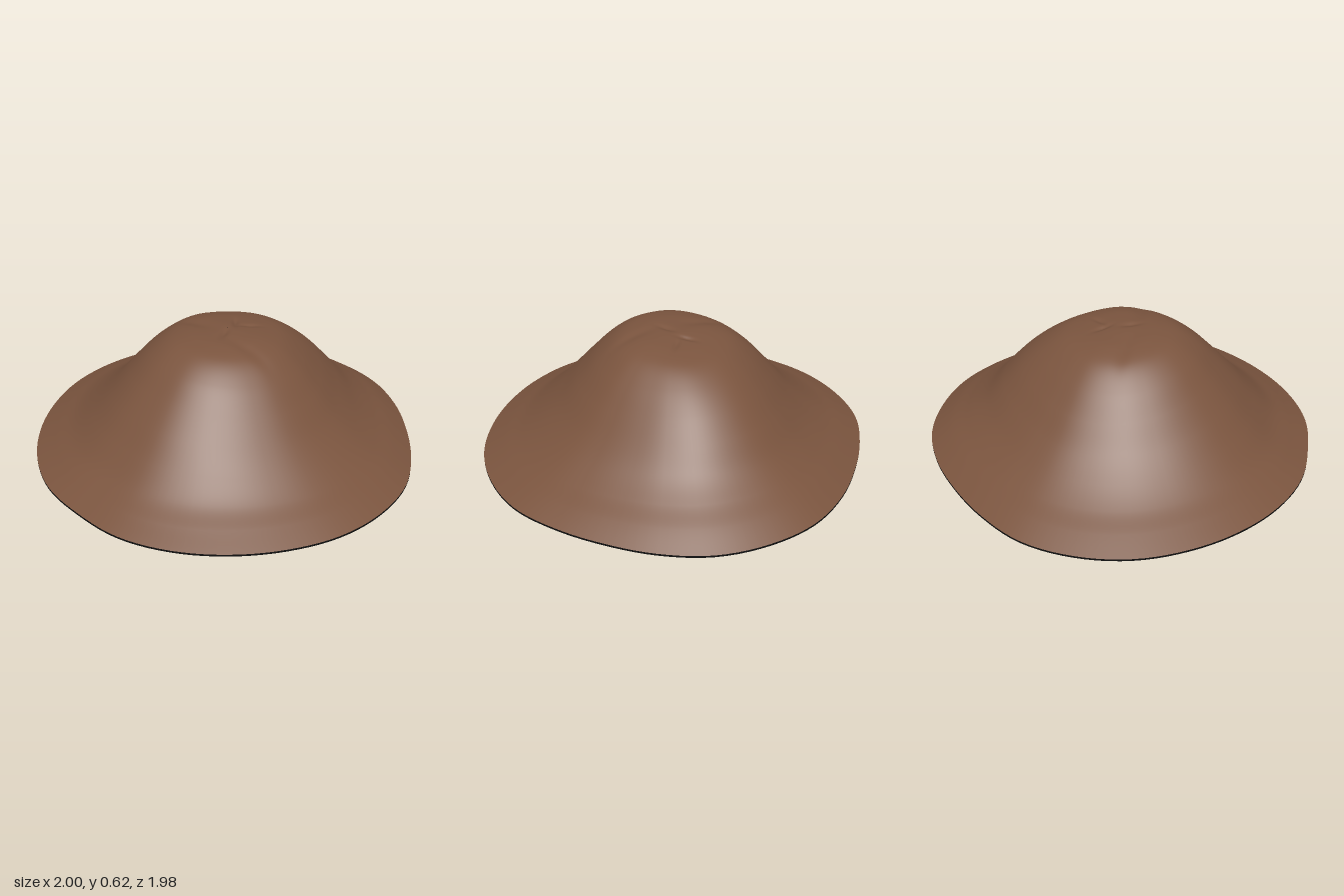
import * as THREE from 'three';
import { ParametricGeometry } from 'three/addons/geometries/ParametricGeometry.js';

// Shell thickness, which is also the height of the rim
const RIM = 0.01;

// Rim radius every 15 degrees, from the front (+z) round to the back (-z)
const rimRadii = [0.985, 0.996, 0.992, 0.987, 0.99, 1.0, 1.0, 0.992, 0.962, 0.95, 0.965, 0.987, 0.99];

// Heights from the centre out to the rim, in tenths of the radius
const sideProfile = [0.615, 0.612, 0.6, 0.563, 0.482, 0.372, 0.26, 0.175, 0.109, 0.06, RIM];
const frontProfile = [0.615, 0.616, 0.612, 0.59, 0.528, 0.433, 0.328, 0.218, 0.122, 0.062, RIM];
const backProfile = [0.615, 0.606, 0.592, 0.565, 0.508, 0.428, 0.325, 0.215, 0.138, 0.077, RIM];

// Smooth lookup in an evenly spaced table; mirrored ends give a level start
function sample(table, s, mirrorEnd) {
  const n = table.length - 1;
  const p = Math.min(Math.max(s, 0), 1) * n;
  const i = Math.min(Math.floor(p), n - 1), f = p - i;
  const at = (k) => {
    if (k < 0) return table[-k];
    if (k > n) return mirrorEnd ? table[2 * n - k] : 2 * table[n] - table[n - 1];
    return table[k];
  };
  const a = at(i - 1), b = at(i), c = at(i + 1), d = at(i + 2);
  return b + 0.5 * f * (c - a + f * (2 * a - 5 * b + 4 * c - d + f * (3 * (b - c) + d - a)));
}

// Radius of the outline at an angle measured from the front
function rimRadius(angle) {
  const c = Math.acos(Math.min(1, Math.max(-1, Math.cos(angle))));
  return sample(rimRadii, c / Math.PI, true);
}

// Shallow creases in the crown: x, z, half-length, half-width, direction, depth
const creases = [
  [-0.18, 0.06, 0.1, 0.035, 0, 0.008],
  [0.2, 0.07, 0.11, 0.035, -0.1, 0.007],
  [-0.02, -0.08, 0.05, 0.016, 0.8, 0.01],
  [0.05, -0.11, 0.05, 0.016, -0.9, 0.008],
  [0.03, 0.05, 0.05, 0.018, 1.1, 0.009],
];

function creaseDepth(x, z) {
  let sum = 0;
  for (const [cx, cz, length, width, turn, depth] of creases) {
    const dx = x - cx, dz = z - cz;
    const along = (dx * Math.cos(turn) + dz * Math.sin(turn)) / length;
    const across = (dz * Math.cos(turn) - dx * Math.sin(turn)) / width;
    sum += depth * Math.exp(-along * along - across * across);
  }
  return sum;
}

// Domed skin: blends the front, side and back profiles round the crown
function setSkinPoint(angle, v, drop, target) {
  const t = 0.001 + 0.999 * v;
  const r = t * rimRadius(angle);
  const x = r * Math.sin(angle), z = r * Math.cos(angle);
  const c = Math.cos(angle), w = c * c;
  const lengthwise = sample(c > 0 ? frontProfile : backProfile, t, false);
  const y = w * lengthwise + (1 - w) * sample(sideProfile, t, false);
  target.set(x, y - creaseDepth(x, z) - drop, z);
}

// The outside faces up; the lining runs the other way round and faces down
const outerPoint = (u, v, target) => setSkinPoint(-2 * Math.PI * u, v, 0, target);
const liningPoint = (u, v, target) => setSkinPoint(2 * Math.PI * u, v, RIM, target);

// Thin upright edge joining the lining to the outside
function rimPoint(u, v, target) {
  const angle = 2 * Math.PI * u;
  const r = rimRadius(angle);
  target.set(r * Math.sin(angle), v * RIM, r * Math.cos(angle));
}

function flatColour(name, color) {
  const material = new THREE.MeshStandardMaterial({ color });
  material.name = name;
  return material;
}

export function createModel() {
  const brown = flatColour('earthBrown', 0x7a543e);
  const black = flatColour('liningBlack', 0x101010);

  const group = new THREE.Group();
  group.name = 'domedShell';
  const add = (name, fn, stacks, material) => {
    const mesh = new THREE.Mesh(new ParametricGeometry(fn, 120, stacks), material);
    mesh.name = name;
    group.add(mesh);
  };
  add('outerSkin', outerPoint, 80, brown);
  add('lining', liningPoint, 80, black);
  add('rim', rimPoint, 1, black);
  return group;
}
